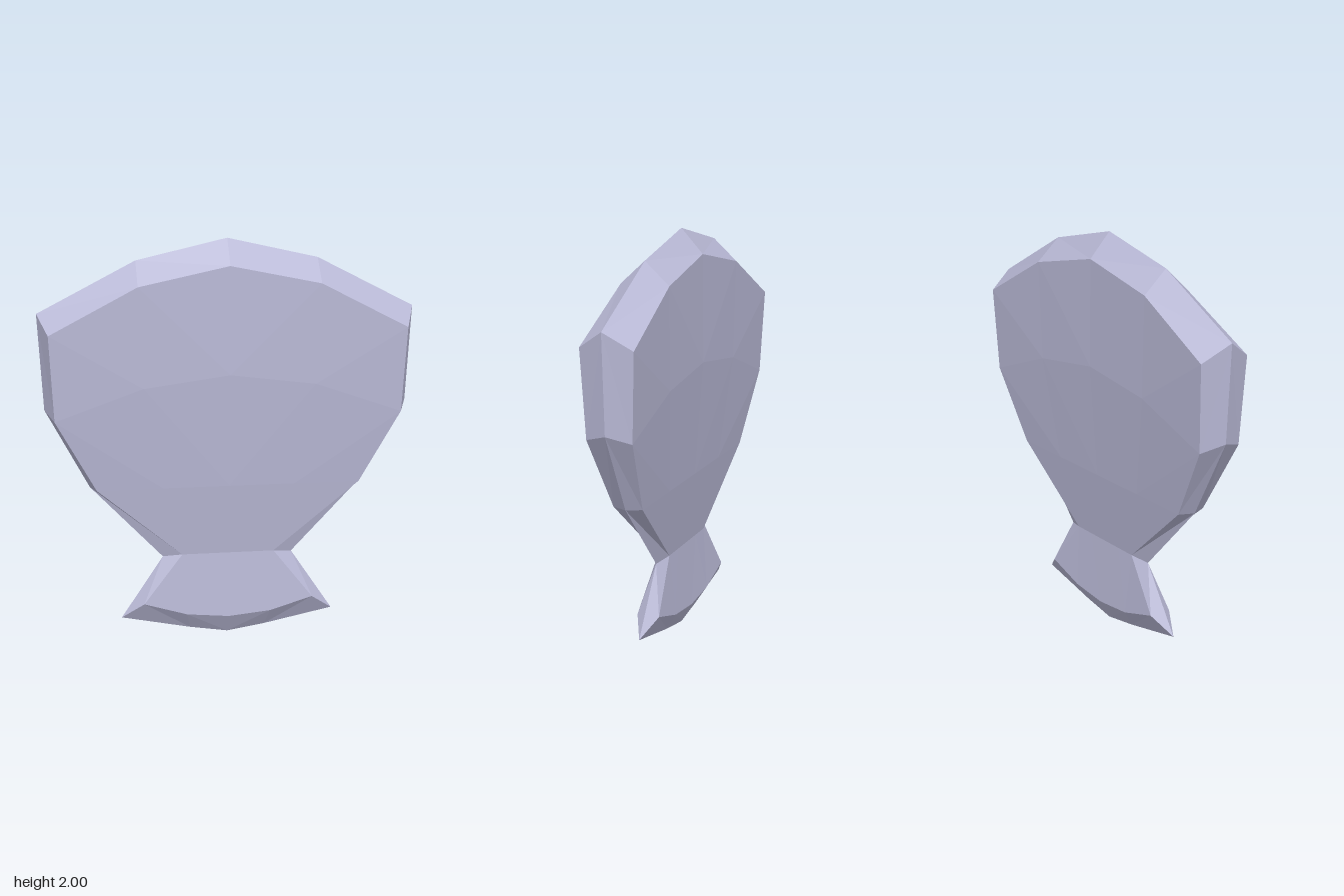
import * as THREE from 'three';

// Half cross-sections from top to bottom: centre, middle, edge, rim points as [x, y, z].
const rows = [
  [[0, 2, 0], [0.44, 1.9, 0], [0.915, 1.655, 0], [0.915, 1.655, 0]],
  [[0, 1.88, 0.11], [0.44, 1.79, 0.12], [0.865, 1.57, 0.13], [0.915, 1.655, 0]],
  [[0, 1.355, 0.115], [0.42, 1.3, 0.115], [0.845, 1.15, 0.112], [0.89, 1.185, 0]],
  [[0, 0.79, 0.073], [0.325, 0.79, 0.073], [0.65, 0.79, 0.073], [0.68, 0.79, 0]],
  [[0, 0.43, 0.03], [0.115, 0.43, 0.03], [0.23, 0.43, 0.03], [0.325, 0.415, 0]],
  [[0, 0.1, 0.056], [0.21, 0.12, 0.056], [0.425, 0.185, 0.056], [0.535, 0.1, 0]],
  [[0, 0.0, 0], [0.19, 0.03, 0], [0.535, 0.1, 0], [0.535, 0.1, 0]],
];

// Mirror a half row in x to give the full row of seven points.
const fullRow = (r) => [...r.slice(1).reverse().map(([x, y, z]) => [-x, y, z]), ...r];

// Skin consecutive rows on the front (+1) and back (-1).
function shell(first, last) {
  const pos = [];
  const tri = (side, ...pts) => {
    const [a, b, c] = pts.map(([x, y, z]) => new THREE.Vector3(x, y, z * side));
    const area = b.clone().sub(a).cross(c.clone().sub(a)).length();
    if (area < 1e-6) return; // collapsed corner
    for (const v of side > 0 ? [a, b, c] : [a, c, b]) pos.push(v.x, v.y, v.z);
  };
  for (const side of [1, -1]) {
    for (let i = first; i < last; i++) {
      const top = fullRow(rows[i]), low = fullRow(rows[i + 1]);
      for (let j = 0; j < 6; j++) {
        // diagonals mirror about the centre line
        if (j < 3) {
          tri(side, top[j], low[j], low[j + 1]);
          tri(side, top[j], low[j + 1], top[j + 1]);
        } else {
          tri(side, top[j], low[j], top[j + 1]);
          tri(side, low[j], low[j + 1], top[j + 1]);
        }
      }
    }
  }
  const geo = new THREE.BufferGeometry();
  geo.setAttribute('position', new THREE.Float32BufferAttribute(pos, 3));
  geo.computeVertexNormals();
  return geo;
}

export function createModel() {
  const group = new THREE.Group();
  const material = new THREE.MeshStandardMaterial({ color: 0xb9b9d6, flatShading: true });
  material.name = 'pale lavender';

  // Broad upper blade, then the flared foot below the neck
  for (const [name, first, last] of [['blade', 0, 4], ['flaredFoot', 4, 6]]) {
    const mesh = new THREE.Mesh(shell(first, last), material);
    mesh.name = name;
    group.add(mesh);
  }
  return group;
}
